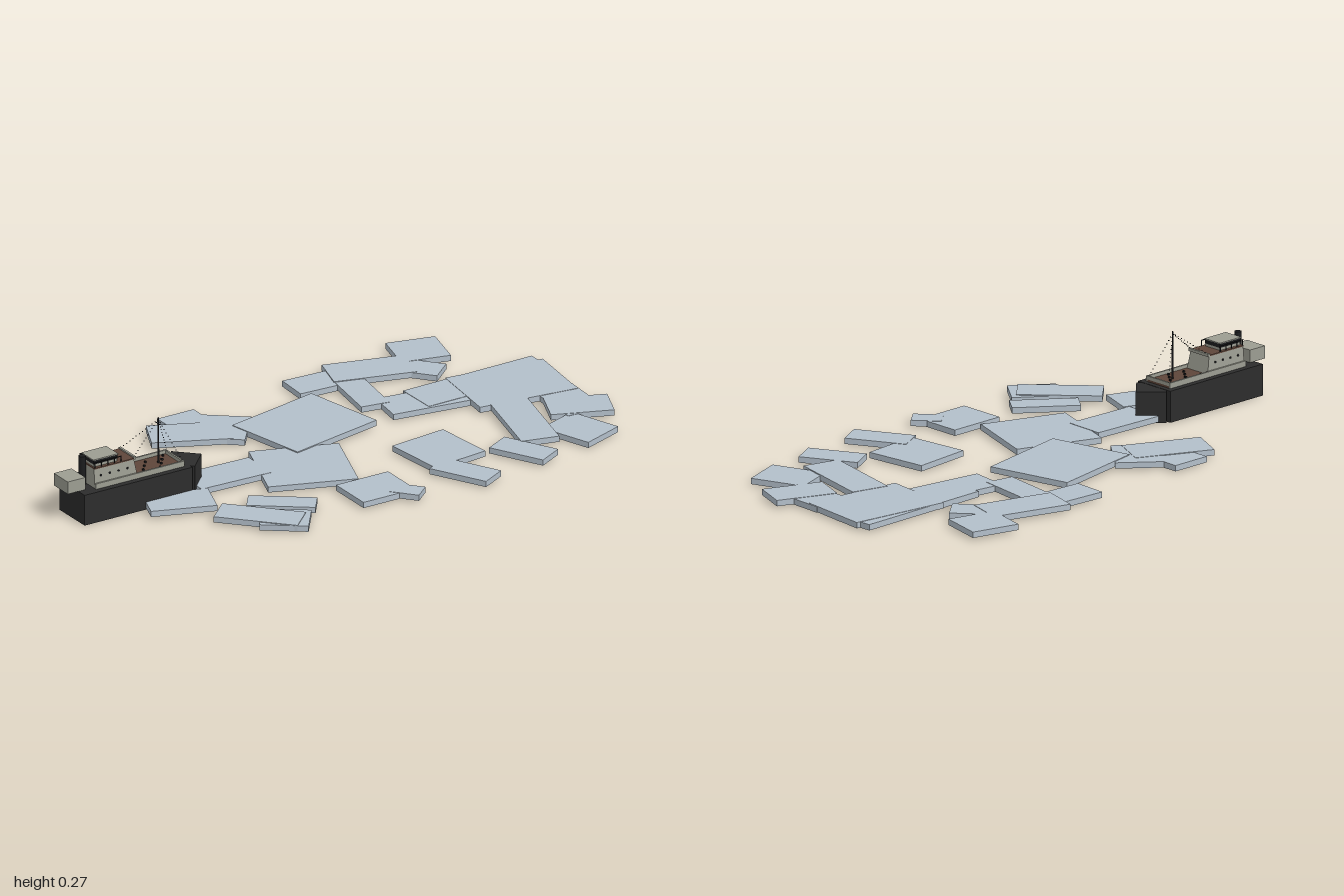
import * as THREE from 'three';

const mat = (name, color) => {
  const m = new THREE.MeshStandardMaterial({ color });
  m.name = name;
  return m;
};

export function createModel() {
  const root = new THREE.Group();
  const ice = mat('ice', 0xb3bfca);
  const black = mat('hullBlack', 0x2c2c2c);
  const grey = mat('cabinGrey', 0x9c9d92);
  const brown = mat('deckBrown', 0x5f463a);
  const dark = mat('fittingsBlack', 0x1b1c1e);

  const add = (parent, name, geometry, material, x = 0, y = 0, z = 0) => {
    const mesh = new THREE.Mesh(geometry, material);
    mesh.name = name;
    mesh.position.set(x, y, z);
    parent.add(mesh);
    return mesh;
  };
  // Box given by its limits along x, y and z
  const box = (parent, name, m, x0, x1, y0, y1, z0, z1) =>
    add(parent, name, new THREE.BoxGeometry(x1 - x0, y1 - y0, z1 - z0), m,
      (x0 + x1) / 2, (y0 + y1) / 2, (z0 + z1) / 2);

  // Ice floes: overlapping turned slabs (x, z, width, depth, degrees)
  const iceField = new THREE.Group();
  iceField.name = 'iceField';
  root.add(iceField);
  [
    [-.26, -.36, .14, .19, 0], [-.187, -.28, .16, .185, 39], [-.3, -.305, .27, .14, 25],
    [.05, -.165, .36, .3, -12], [-.13, .11, .3, .29, 20], [-.38, .03, .26, .14, 2],
    [-.62, .13, .22, .14, 20], [-.465, .37, .28, .11, 47], [-.345, .315, .225, .08, 37],
    [-.405, .43, .16, .13, 37], [-.03, .387, .2, .165, 0], [.045, .46, .1, .07, 50],
    [.31, .235, .21, .22, -6], [.29, .425, .21, .1, 62], [.538, .388, .1, .2, -28],
    [.46, -.415, .28, .14, 16], [.27, -.425, .2, .12, 3], [.343, -.285, .1, .24, 9],
    [.61, -.33, .1, .13, -40], [.675, -.457, .17, .16, 14], [.48, -.12, .28, .14, 8],
    [.71, -.14, .5, .15, -1], [.785, -.07, .35, .26, 7], [.662, .2, .13, .32, 14],
    [.785, .34, .16, .19, -20], [.875, .14, .14, .22, 3], [.878, .19, .21, .13, 22],
  ].forEach(([x, z, w, d, turn], i) => {
    const floe = add(iceField, 'iceFloe', new THREE.BoxGeometry(w, 0.02, d), ice,
      x, 0.014 + (i % 4) * 0.0012, z);
    floe.rotation.y = -THREE.MathUtils.degToRad(turn);
  });

  // Ship, built around its own centre line
  const ship = new THREE.Group();
  ship.name = 'ship';
  ship.position.z = 0.011;
  root.add(ship);
  box(ship, 'hull', black, -0.957, -0.542, 0, 0.107, -0.076, 0.076);
  const bow = box(ship, 'bow', black, -0.58, -0.48, 0, 0.106, -0.05, 0.05);
  bow.rotation.y = Math.PI / 4;

  // Cargo deck with bulwarks
  box(ship, 'cargoDeck', brown, -0.76, -0.56, 0.107, 0.114, -0.05, 0.05);
  for (const s of [-1, 1]) {
    box(ship, 'bulwark', grey, -0.9, -0.56, 0.107, 0.126, s * 0.053 - 0.003, s * 0.053 + 0.003);
  }
  box(ship, 'foreBulwark', grey, -0.566, -0.56, 0.107, 0.126, -0.05, 0.05);
  for (let i = 0; i < 8; i++) {
    const x = -0.72 + i * 0.019;
    const z = ((i * 5) % 7 - 3) * 0.012;
    box(ship, 'deckFitting', dark, x, x + 0.006, 0.114, 0.12, z - 0.003, z + 0.003);
  }

  // Cabin: walls taper inward with height
  const cabin = new THREE.BoxGeometry(0.165, 0.066, 0.098);
  const pos = cabin.attributes.position;
  for (let i = 0; i < pos.count; i++) {
    if (pos.getY(i) > 0) {
      pos.setZ(i, pos.getZ(i) * 0.88);
      if (pos.getX(i) > 0) pos.setX(i, pos.getX(i) - 0.012);
    }
  }
  cabin.computeVertexNormals();
  add(ship, 'cabin', cabin, grey, -0.8175, 0.14, 0);
  box(ship, 'cabinRoof', brown, -0.9, -0.748, 0.173, 0.177, -0.046, 0.046);
  box(ship, 'cabinRoofEdge', grey, -0.748, -0.74, 0.172, 0.182, -0.046, 0.046);
  box(ship, 'wheelhouse', grey, -0.895, -0.805, 0.177, 0.197, -0.034, 0.034);
  box(ship, 'windowBand', dark, -0.896, -0.804, 0.186, 0.2, -0.035, 0.035);
  box(ship, 'wheelhouseRoof', grey, -0.898, -0.802, 0.2, 0.203, -0.036, 0.036);
  for (const s of [-1, 1]) {
    const z = s * 0.044;
    box(ship, 'bridgeRail', dark, -0.9, -0.795, 0.194, 0.197, z - 0.001, z + 0.001);
    for (let i = 0; i < 5; i++) {
      const x = -0.898 + i * 0.025;
      box(ship, 'railPost', dark, x, x + 0.003, 0.177, 0.194, z - 0.001, z + 0.001);
    }
    for (let i = 0; i < 4; i++) {
      add(ship, 'porthole', new THREE.CylinderGeometry(0.004, 0.004, 0.004, 8).rotateX(Math.PI / 2),
        dark, -0.875 + i * 0.034, 0.148, s * 0.0455);
    }
  }

  // Stern house and funnel
  box(ship, 'sternHouse', grey, -1, -0.932, 0.109, 0.152, -0.042, 0.042);
  add(ship, 'funnel', new THREE.CylinderGeometry(0.012, 0.012, 0.104, 12), dark, -0.918, 0.158, 0);

  // Mast and dotted rigging
  add(ship, 'mast', new THREE.CylinderGeometry(0.0025, 0.0035, 0.163, 8), dark, -0.625, 0.193, 0);
  const top = new THREE.Vector3(-0.625, 0.268, 0);
  const bead = new THREE.BoxGeometry(0.0025, 0.0025, 0.0025);
  for (const s of [-1, 1]) {
    for (const [x, y, z] of [[-0.745, 0.18, 0.04], [-0.563, 0.126, 0.045]]) {
      const end = new THREE.Vector3(x, y, s * z);
      for (let i = 1; i <= 12; i++) {
        const p = top.clone().lerp(end, i / 12);
        add(ship, 'riggingBead', bead, dark, p.x, p.y, p.z);
      }
    }
  }
  return root;
}
